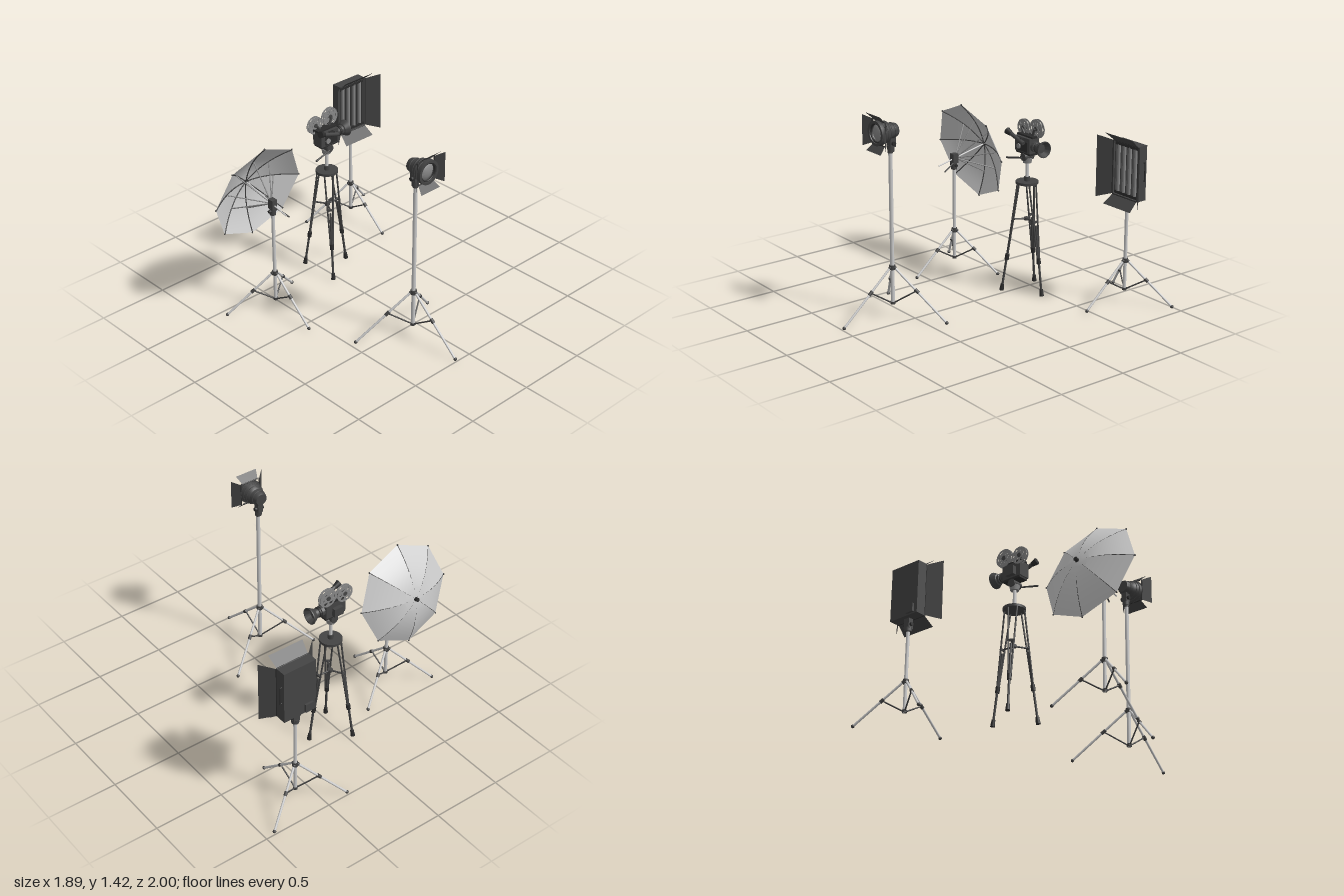
import * as THREE from 'three';
import { toCreasedNormals } from 'three/addons/utils/BufferGeometryUtils.js';

const paint = (color) => new THREE.MeshStandardMaterial({ color, side: THREE.DoubleSide });
const steel = paint(0xcccccc), dark = paint(0x444444), black = paint(0x2c2c2c), mid = paint(0x888888);
const V = (x, y, z) => new THREE.Vector3(x, y, z);

function add(parent, name, geo, mat, x = 0, y = 0, z = 0) {
  const m = new THREE.Mesh(geo, mat);
  m.name = name;
  m.position.set(x, y, z);
  parent.add(m);
  return m;
}
function group(parent, name, x = 0, y = 0, z = 0) {
  const g = new THREE.Group();
  g.name = name;
  g.position.set(x, y, z);
  parent.add(g);
  return g;
}
const box = (p, name, w, h, d, mat, x, y, z) => add(p, name, new THREE.BoxGeometry(w, h, d), mat, x, y, z);
const ball = (p, name, r, mat, v) => add(p, name, new THREE.SphereGeometry(r, 12, 8), mat, v.x, v.y, v.z);

// Round bar from a to b
function rod(p, name, a, b, r, mat, rEnd = r, sides = 14) {
  const d = b.clone().sub(a);
  const m = add(p, name, new THREE.CylinderGeometry(rEnd, r, d.length(), sides), mat);
  m.position.copy(a).addScaledVector(d, 0.5);
  m.quaternion.setFromUnitVectors(V(0, 1, 0), d.normalize());
  return m;
}
// Turned shape along +z from [radius, z] pairs
function turned(p, name, pts, mat, sides = 32) {
  const geo = new THREE.LatheGeometry(pts.map(([r, z]) => new THREE.Vector2(r, z)), sides).rotateX(Math.PI / 2);
  return add(p, name, toCreasedNormals(geo, 0.5), mat);
}
// Flared flap: hinge half-width w1 at height h1, outer half-width w2 at height h2
function barnDoor(p, w1, h1, z1, w2, h2, z2, angle) {
  const g = new THREE.BufferGeometry();
  g.setAttribute('position', new THREE.Float32BufferAttribute(
    [-w1, h1, z1, w1, h1, z1, w2, h2, z2, -w2, h2, z2], 3));
  g.setIndex([0, 1, 2, 0, 2, 3]);
  g.computeVertexNormals();
  const flap = add(p, 'barnDoor', g, dark);
  flap.rotation.z = angle;
  const hinge = rod(p, 'doorHinge', V(-w1, h1, z1), V(w1, h1, z1), 0.004, black, 0.004, 8);
  const pivot = group(p, 'hingePivot');
  pivot.rotation.z = angle;
  pivot.add(hinge);
}

// Light stand: pole, three folding legs and their braces
function lightStand(p, name, x, z, reach, hub, low, top, r) {
  const g = group(p, name, x, 0, z);
  rod(g, 'pole', V(0, low, 0), V(0, top, 0), r, steel);
  rod(g, 'hubCollar', V(0, hub - 0.018, 0), V(0, hub + 0.012, 0), r + 0.008, dark);
  rod(g, 'lowCollar', V(0, low, 0), V(0, low + 0.018, 0), r + 0.004, dark);
  rod(g, 'topCollar', V(0, top - 0.02, 0), V(0, top, 0), r + 0.005, dark);
  for (let i = 0; i < 3; i++) {
    const a = Math.PI / 2 + i * Math.PI * 2 / 3;
    const at = (d, y) => V(Math.cos(a) * d, y, Math.sin(a) * d);
    const start = at(0.018, hub - 0.005), foot = at(reach, 0.012);
    const joint = start.clone().lerp(foot, 0.42);
    rod(g, 'leg', start, foot, 0.008, steel);
    ball(g, 'foot', 0.012, dark, foot);
    ball(g, 'legKnuckle', 0.012, dark, start);
    rod(g, 'legClamp', start.clone().lerp(foot, 0.39), start.clone().lerp(foot, 0.46), 0.012, dark);
    rod(g, 'brace', joint, at(0.01, low + 0.01), 0.005, dark);
  }
  return g;
}

function spotlight(p) {
  lightStand(p, 'spotlightStand', -0.12, 0.595, 0.392, 0.355, 0.09, 1.165, 0.014);
  const g = group(p, 'spotlightHead', -0.12, 1.295, 0);
  rod(g, 'swivel', V(0, -0.14, 0.59), V(0, -0.1, 0.59), 0.024, dark);
  box(g, 'swivelBlock', 0.04, 0.07, 0.045, dark, 0, -0.075, 0.585);
  rod(g, 'tiltKnob', V(-0.035, -0.085, 0.585), V(0.035, -0.085, 0.585), 0.014, black);
  turned(g, 'housing', [[0, 0.548], [0.042, 0.55], [0.047, 0.56], [0.054, 0.61], [0.066, 0.625], [0.084, 0.695],
    [0.084, 0.712], [0.066, 0.712], [0.06, 0.68]], dark);
  for (const [r, z] of [[0.051, 0.585], [0.067, 0.63], [0.074, 0.655], [0.081, 0.68]])
    add(g, 'coolingRing', new THREE.TorusGeometry(r, 0.004, 6, 32), dark, 0, 0, z);
  turned(g, 'lens', [[0.063, 0.683], [0.05, 0.694], [0.03, 0.702], [0, 0.706]], mid);
  add(g, 'lensRing', new THREE.TorusGeometry(0.062, 0.006, 8, 32), black, 0, 0, 0.7);
  for (let i = 0; i < 4; i++)
    i % 2 ? barnDoor(g, 0.08, 0.076, 0.68, 0.105, 0.128, 0.725, i * Math.PI / 2)
      : barnDoor(g, 0.063, 0.08, 0.68, 0.083, 0.127, 0.728, i * Math.PI / 2);
}

function umbrella(p) {
  const s = lightStand(p, 'umbrellaStand', -0.58, -0.27, 0.337, 0.305, 0.085, 0.79, 0.012);
  rod(s, 'clampBase', V(0, 0.76, 0), V(0, 0.81, 0), 0.022, dark);
  box(s, 'clampBlock', 0.04, 0.07, 0.045, dark, 0, 0.84, 0);
  rod(s, 'clampKnob', V(-0.035, 0.79, 0), V(0.03, 0.79, 0), 0.011, black);
  rod(s, 'clampLever', V(0.015, 0.81, 0.02), V(0.045, 0.77, 0.115), 0.005, dark);
  // Local +z runs from the crown out through the opening
  const g = group(p, 'umbrella', -0.58, 0.9, -0.543);
  g.rotation.x = 0.225;
  const R = 0.36, depth = (r) => 0.132 * (r / R) ** 1.9;
  const radii = [0, 1, 2, 3, 4, 5, 6, 7, 8].map((i) => i * R / 8);
  const geo = new THREE.LatheGeometry(radii.map((r) => new THREE.Vector2(r, depth(r))), 8).rotateX(Math.PI / 2);
  add(g, 'canopy', toCreasedNormals(geo, 0.18), steel);
  rod(g, 'shaft', V(0, 0, -0.02), V(0, 0, 0.42), 0.005, steel);
  rod(g, 'ferrule', V(0, 0, -0.022), V(0, 0, 0.012), 0.014, black);
  rod(g, 'runner', V(0, 0, 0.245), V(0, 0, 0.275), 0.012, dark);
  for (let i = 0; i < 8; i++) {
    const a = i * Math.PI / 4, at = (r, z) => V(Math.cos(a) * r, Math.sin(a) * r, z);
    const path = new THREE.CatmullRomCurve3(radii.map((r) => at(r, depth(r) + 0.004)));
    add(g, 'rib', new THREE.TubeGeometry(path, 16, 0.004, 6), dark);
    rod(g, 'stretcher', at(0.01, 0.26), at(0.2, depth(0.2) + 0.006), 0.004, mid, 0.004, 6);
    ball(g, 'ribTip', 0.006, dark, at(R, depth(R)));
  }
}

function panelLight(p) {
  lightStand(p, 'panelStand', 0.633, -0.815, 0.34, 0.305, 0.085, 0.68, 0.012);
  const g = group(p, 'panelLight', 0.633, 0.945, -0.825);
  rod(g, 'swivel', V(0, -0.285, 0.01), V(0, -0.255, 0.01), 0.026, dark);
  box(g, 'mountBlock', 0.045, 0.08, 0.04, dark, 0, -0.225, 0.01);
  rod(g, 'mountKnob', V(-0.035, -0.235, 0.01), V(0.035, -0.235, 0.01), 0.013, black);
  // Open tray with lamp tubes
  box(g, 'backPlate', 0.244, 0.384, 0.045, dark, 0, 0, -0.018);
  for (const s of [-1, 1]) {
    box(g, 'sideRim', 0.008, 0.384, 0.035, dark, s * 0.118, 0, 0.02);
    box(g, 'endRim', 0.236, 0.008, 0.035, dark, 0, s * 0.188, 0.02);
    box(g, 'lampSocket', 0.22, 0.02, 0.024, black, 0, s * 0.172, 0.018);
  }
  for (let i = 0; i < 4; i++) {
    const x = (i - 1.5) * 0.054;
    rod(g, 'lampTube', V(x, -0.165, 0.02), V(x, 0.165, 0.02), 0.011, mid);
  }
  for (let i = 0; i < 5; i++) box(g, 'reflectorFin', 0.008, 0.36, 0.024, dark, (i - 2) * 0.054, 0, 0.016);
  for (const i of [0, 2]) barnDoor(g, 0.118, 0.19, 0.037, 0.131, 0.25, 0.108, i * Math.PI / 2);
  for (const i of [1, 3]) barnDoor(g, 0.188, 0.122, 0.037, 0.218, 0.209, 0.108, i * Math.PI / 2);
  box(g, 'controlBox', 0.06, 0.06, 0.018, dark, -0.065, -0.152, -0.047);
  // Side handle and knob
  rod(g, 'handle', V(0.134, -0.055, -0.015), V(0.134, 0.08, -0.015), 0.004, black);
  for (const y of [-0.05, 0.075]) rod(g, 'handlePost', V(0.12, y, -0.015), V(0.134, y, -0.015), 0.004, black);
}

// Film reel: perforated flanges around a hub
function filmReel(p, x, y, z, r) {
  const g = group(p, 'filmReel', x, y, z);
  const disc = new THREE.Shape().absarc(0, 0, r, 0, Math.PI * 2);
  for (let i = 0; i < 6; i++) {
    const a = i * Math.PI / 3;
    disc.holes.push(new THREE.Path().absarc(Math.cos(a) * r * 0.62, Math.sin(a) * r * 0.62, r * 0.2, 0, Math.PI * 2, true));
  }
  const geo = new THREE.ExtrudeGeometry(disc, { depth: 0.003, bevelEnabled: false, curveSegments: 20 });
  for (const s of [-0.011, 0.008]) add(g, 'reelFlange', geo, mid, 0, 0, s);
  rod(g, 'reelHub', V(0, 0, -0.016), V(0, 0, 0.016), r * 0.24, dark);
  add(g, 'reelRim', new THREE.TorusGeometry(r - 0.002, 0.003, 6, 36), mid, 0, 0, 0.01);
}

function filmCamera(p) {
  const g = group(p, 'filmCamera', 0.045, 0, -0.425);
  // Wooden-style tripod with split legs
  rod(g, 'platform', V(0, 0.782, 0), V(0, 0.8, 0), 0.078, dark, 0.078, 32);
  rod(g, 'spreaderHub', V(0, 0.515, 0), V(0, 0.535, 0), 0.018, dark);
  for (let i = 0; i < 3; i++) {
    const a = i * Math.PI * 2 / 3;
    const at = (d, y, t = 0) => V(Math.cos(a) * d - Math.sin(a) * t, y, Math.sin(a) * d + Math.cos(a) * t);
    for (const s of [-1, 1]) rod(g, 'upperLeg', at(0.06, 0.785, s * 0.03), at(0.135, 0.25, s * 0.008), 0.006, dark);
    rod(g, 'lowerLeg', at(0.1, 0.5), at(0.17, 0.02), 0.008, dark);
    rod(g, 'legClamp', at(0.132, 0.27), at(0.138, 0.23), 0.015, black);
    rod(g, 'foot', at(0.173, 0.003), at(0.166, 0.05), 0.016, black, 0.012);
    rod(g, 'spreaderArm', at(0, 0.525), at(0.097, 0.525), 0.006, dark);
    box(g, 'legBridge', 0.012, 0.014, 0.045, dark, at(0.097, 0).x, 0.525, at(0.097, 0).z).rotation.y = -a;
  }
  // Column and pan head
  rod(g, 'column', V(0, 0.79, 0), V(0, 0.96, 0), 0.012, steel);
  rod(g, 'columnCollar', V(0, 0.8, 0), V(0, 0.83, 0), 0.02, dark);
  rod(g, 'panHead', V(0, 0.93, 0), V(0, 0.965, 0), 0.03, mid, 0.036);
  rod(g, 'tiltDrum', V(0, 0.975, -0.04), V(0, 0.975, 0.04), 0.028, dark);
  rod(g, 'panHandle', V(-0.01, 0.97, 0.045), V(-0.15, 0.942, 0.06), 0.005, dark, 0.007);
  // Body, facing +x
  box(g, 'basePlate', 0.15, 0.014, 0.075, black, 0, 1.004, 0);
  box(g, 'body', 0.155, 0.105, 0.085, dark, -0.005, 1.063, 0);
  box(g, 'topPlate', 0.165, 0.012, 0.06, black, -0.005, 1.121, -0.01);
  box(g, 'sideDoor', 0.105, 0.07, 0.01, black, 0.005, 1.055, 0.045);
  rod(g, 'sideDial', V(-0.03, 1.05, 0.045), V(-0.03, 1.05, 0.058), 0.018, mid);
  box(g, 'motor', 0.07, 0.06, 0.03, dark, -0.01, 1.05, -0.055);
  // Lens and hood
  const lens = group(g, 'lens', 0, 1.06, 0);
  lens.rotation.y = Math.PI / 2;
  turned(lens, 'lensBarrel', [[0.036, 0.07], [0.036, 0.095], [0.028, 0.097], [0.028, 0.12], [0.033, 0.122], [0.033, 0.138],
    [0.04, 0.142], [0.057, 0.172], [0.057, 0.18], [0.051, 0.18], [0.032, 0.145], [0, 0.148]], dark);
  add(lens, 'focusRing', new THREE.TorusGeometry(0.031, 0.005, 8, 28), black, 0, 0, 0.11);
  // Viewfinder along the side
  rod(g, 'viewfinder', V(0.04, 1.085, 0.068), V(-0.09, 1.13, 0.075), 0.014, dark);
  rod(g, 'eyepiece', V(-0.085, 1.128, 0.075), V(-0.125, 1.143, 0.078), 0.016, black, 0.024);
  box(g, 'viewfinderMount', 0.035, 0.03, 0.03, black, 0, 1.1, 0.055);
  // Reels on their arms
  for (const [x, y, r] of [[0.06, 1.176, 0.066], [-0.075, 1.155, 0.062]]) {
    filmReel(g, x, y, -0.035, r);
    rod(g, 'reelArm', V(x * 0.5, 1.11, -0.012), V(x, y, -0.012), 0.008, dark);
  }
}

export function createModel() {
  const model = new THREE.Group();
  model.name = 'filmStudioSet';
  spotlight(model);
  umbrella(model);
  panelLight(model);
  filmCamera(model);
  return model;
}
